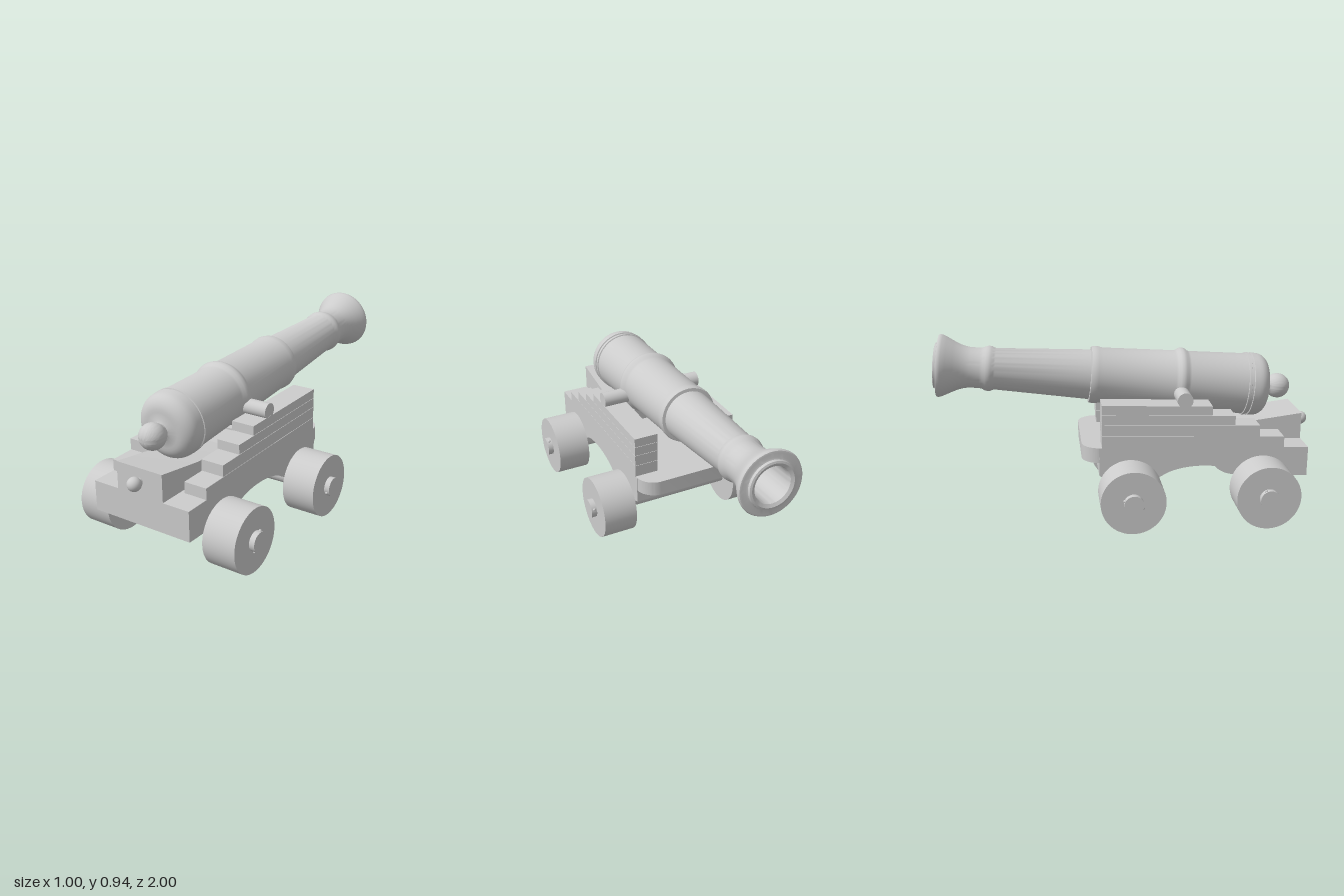
import * as THREE from 'three';
import { toCreasedNormals } from 'three/addons/utils/BufferGeometryUtils.js';

const grey = new THREE.MeshStandardMaterial({ color: 0xcccccc });
const HALF_WIDTH = 0.283;
const AXLE_Y = 0.165;

function add(parent, name, geometry, x = 0, y = 0, z = 0) {
  const mesh = new THREE.Mesh(geometry, grey);
  mesh.name = name;
  mesh.position.set(x, y, z);
  parent.add(mesh);
  return mesh;
}

// Extrude a side profile drawn in (z, y) across the width, from x0 to x1
function sideExtrude(shape, x0, x1) {
  const g = new THREE.ExtrudeGeometry(shape, { depth: x1 - x0, bevelEnabled: false, curveSegments: 20 });
  g.rotateY(-Math.PI / 2).translate(x1, 0, 0);
  return toCreasedNormals(g, 0.6);
}

function polygon(points) {
  return new THREE.Shape(points.map(([z, y]) => new THREE.Vector2(z, y)));
}

// Cylinder lying along x
function crossCylinder(radius, length, segments = 48) {
  return new THREE.CylinderGeometry(radius, radius, length, segments).rotateZ(Math.PI / 2);
}

function barrelGeometry() {
  const p = [];
  // Knob at the breech
  for (let i = 0; i <= 14; i++) {
    const a = (i / 14) * 2.4;
    p.push([0.066 * Math.sin(a), -0.829 - 0.066 * Math.cos(a)]);
  }
  p.push([0.043, -0.772], [0.055, -0.766], [0.09, -0.762]);
  // Rounded breech
  for (let i = 1; i <= 8; i++) {
    const a = (i / 8) * Math.PI / 2;
    p.push([0.09 + 0.077 * Math.sin(a), -0.692 - 0.07 * Math.cos(a)]);
  }
  p.push(
    // Breech ring and first reinforce
    [0.169, -0.665], [0.163, -0.663], [0.163, -0.652], [0.168, -0.65], [0.168, -0.637], [0.162, -0.635],
    [0.155, -0.33], [0.158, -0.318], [0.168, -0.305], [0.171, -0.29], [0.168, -0.275], [0.158, -0.262], [0.154, -0.25],
    // Second reinforce
    [0.145, 0.13], [0.15, 0.15], [0.151, 0.172], [0.147, 0.188], [0.131, 0.19],
    // Chase and neck ring
    [0.108, 0.68], [0.111, 0.69], [0.117, 0.702], [0.118, 0.716], [0.115, 0.73], [0.108, 0.744], [0.105, 0.76],
    // Muzzle flare and lip
    [0.105, 0.81], [0.109, 0.835], [0.118, 0.865], [0.132, 0.895], [0.15, 0.93], [0.16, 0.952],
    [0.163, 0.965], [0.159, 0.974], [0.15, 0.976], [0.128, 0.974], [0.12, 0.977], [0.118, 0.99], [0.108, 0.993],
    // Bore
    [0.092, 0.985], [0.088, 0.96], [0.088, 0.45], [0, 0.42],
  );
  const points = p.map(([r, s]) => new THREE.Vector2(r, s));
  return toCreasedNormals(new THREE.LatheGeometry(points, 64), 0.7);
}

// Bed with an arched underside between the axles
function bedShape() {
  const s = polygon([[0.93, 0.21], [0.93, 0.365], [-0.16, 0.392], [-0.16, 0.245], [-0.06, 0.2], [0.1, 0.2]]);
  s.lineTo(0.16, 0.232);
  s.bezierCurveTo(0.25, 0.296, 0.45, 0.296, 0.54, 0.25);
  s.lineTo(0.6, 0.21);
  return s;
}

// Front platform with rounded outer corners, drawn in (x, -z)
function platformGeometry() {
  const w = HALF_WIDTH - 0.001, r = 0.1, front = 0.245;
  const s = new THREE.Shape();
  s.moveTo(-w, -0.1);
  s.lineTo(w, -0.1);
  s.lineTo(w, front - r);
  s.absarc(w - r, front - r, r, 0, Math.PI / 2, false);
  s.absarc(-w + r, front - r, r, Math.PI / 2, Math.PI, false);
  const g = new THREE.ExtrudeGeometry(s, { depth: 0.08, bevelEnabled: false, curveSegments: 16 });
  return toCreasedNormals(g.rotateX(-Math.PI / 2), 0.6);
}

export function createModel() {
  const model = new THREE.Group();
  model.name = 'cannon';

  // Barrel, raised slightly towards the muzzle
  const barrel = add(model, 'barrel', barrelGeometry(), 0, 0.695, 0);
  barrel.rotation.x = -Math.PI / 2 + 0.0863;
  add(model, 'trunnion', crossCylinder(0.04, 0.564), 0, 0.633, 0.28);

  // Carriage
  const carriage = new THREE.Group();
  carriage.name = 'carriage';
  model.add(carriage);
  add(carriage, 'bed', sideExtrude(bedShape(), -HALF_WIDTH, HALF_WIDTH));
  add(carriage, 'frontPlatform', platformGeometry(), 0, 0.315, 0);

  // Stepped cheeks: planks sloping gently down to the rear
  const levels = [0.385, 0.456, 0.516, 0.567, 0.617];
  const rearEnds = [0.8, 0.67, 0.54, 0.42];
  const slope = 0.035;
  for (const side of [1, -1]) {
    rearEnds.forEach((rear, i) => {
      const front = -0.145;
      const plank = polygon([
        [front, levels[i] - slope * front], [rear, levels[i] - slope * rear],
        [rear, levels[i + 1] - slope * rear - 0.002], [front, levels[i + 1] - slope * front - 0.002],
      ]);
      const [x0, x1] = side > 0 ? [0.157, HALF_WIDTH] : [-HALF_WIDTH, -0.157];
      add(carriage, 'cheekPlank', sideExtrude(plank, x0, x1));
    });
  }

  // Wedge under the breech, with its handle
  const wedge = polygon([[0.93, 0.36], [0.93, 0.505], [0.68, 0.472], [0.4, 0.45], [0.4, 0.37]]);
  add(carriage, 'wedge', sideExtrude(wedge, -0.135, 0.135));
  add(carriage, 'wedgeHandle', new THREE.SphereGeometry(0.035, 32, 20), 0, 0.437, 0.965);
  add(carriage, 'wedgeHandleStem', new THREE.CylinderGeometry(0.02, 0.02, 0.04, 24).rotateX(Math.PI / 2), 0, 0.437, 0.93);

  // Axles, wheels, and locking pins
  [[0.685, 0.45], [-0.003, 1.17]].forEach(([z, pinAngle]) => {
    const beam = new THREE.Shape();
    beam.moveTo(z + 0.05, 0.25);
    beam.lineTo(z - 0.05, 0.25);
    beam.lineTo(z - 0.05, AXLE_Y);
    beam.absarc(z, AXLE_Y, 0.05, Math.PI, Math.PI * 2, false);
    add(carriage, 'axleBeam', sideExtrude(beam, -HALF_WIDTH + 0.001, HALF_WIDTH - 0.001));
    add(carriage, 'axle', crossCylinder(0.05, 1), 0, AXLE_Y, z);
    for (const side of [1, -1]) {
      add(carriage, 'wheel', crossCylinder(0.165, 0.18, 64), side * 0.381, AXLE_Y, z);
      const pin = add(carriage, 'lockingPin', new THREE.CapsuleGeometry(0.008, 0.1, 6, 12), side * 0.485, AXLE_Y, z);
      pin.rotation.x = -pinAngle;
    }
  });

  return model;
}
